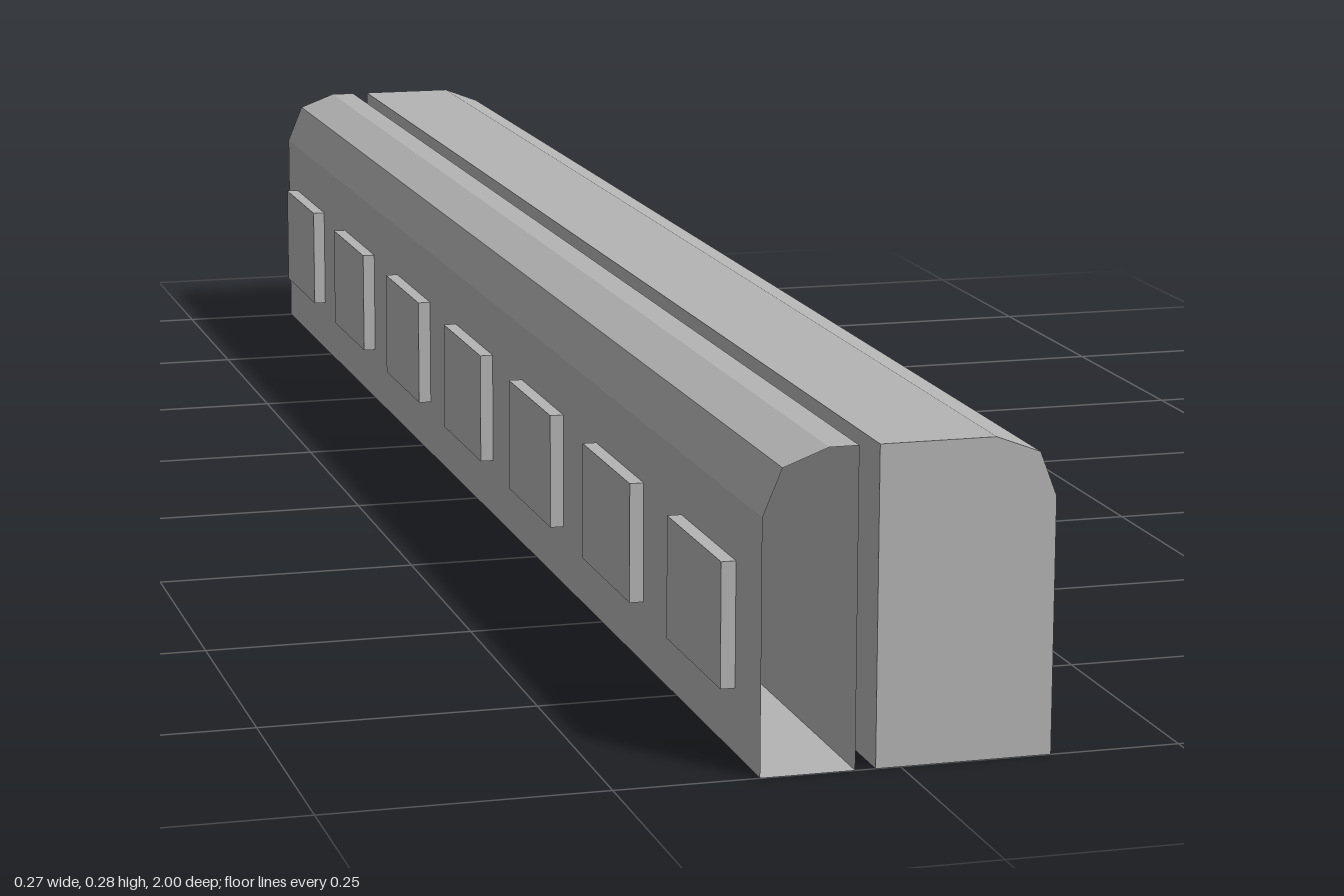
import * as THREE from 'three';

const LENGTH = 2;
const WINDOW = { length: 0.164, bottom: 0.057, top: 0.168, depth: 0.013, count: 7, first: -0.865, step: 0.285 };

// Cross-sections (x, y), counter-clockwise
const WIDE = [[-0.022, 0], [0.134, 0], [0.134, 0.225], [0.119, 0.264], [0.08, 0.279], [-0.022, 0.279]];
const NARROW = [[-0.123, 0], [-0.04, 0], [-0.04, 0.279], [-0.066, 0.279], [-0.106, 0.264], [-0.123, 0.223]];

const toShape = (points) => new THREE.Shape(points.map(([x, y]) => new THREE.Vector2(x, y)));

// Strip of flat panels swept along z, one for each pair of neighbouring points
function sweptPanels(points) {
  const pos = [];
  const h = LENGTH / 2;
  for (let i = 0; i < points.length - 1; i++) {
    const [ax, ay] = points[i];
    const [bx, by] = points[i + 1];
    pos.push(ax, ay, h, ax, ay, -h, bx, by, -h, ax, ay, h, bx, by, -h, bx, by, h);
  }
  const geo = new THREE.BufferGeometry();
  geo.setAttribute('position', new THREE.Float32BufferAttribute(pos, 3));
  geo.computeVertexNormals();
  return geo;
}

// Side wall in the z-y plane with a hole behind each window
function windowWall(x, height, centres) {
  const h = LENGTH / 2;
  const shape = toShape([[-h, 0], [h, 0], [h, height], [-h, height]]);
  for (const c of centres) {
    const a = c - WINDOW.length / 2;
    const b = c + WINDOW.length / 2;
    shape.holes.push(toShape([[a, WINDOW.bottom], [a, WINDOW.top], [b, WINDOW.top], [b, WINDOW.bottom]]));
  }
  return new THREE.ShapeGeometry(shape).rotateY(-Math.PI / 2).translate(x, 0, 0);
}

// Raised window: a shallow box open towards the inside
function windowBox() {
  const geo = new THREE.BoxGeometry(WINDOW.depth, WINDOW.top - WINDOW.bottom, WINDOW.length);
  geo.setIndex(Array.from(geo.index.array).slice(6));
  geo.clearGroups();
  return geo;
}

export function createModel() {
  const model = new THREE.Group();
  model.name = 'splitCarriage';
  const grey = new THREE.MeshStandardMaterial({ color: 0xb4b4b4, side: THREE.DoubleSide });
  grey.name = 'grey';

  const add = (name, geo, parent) => {
    const mesh = new THREE.Mesh(geo, grey);
    mesh.name = name;
    parent.add(mesh);
    return mesh;
  };

  // Wide half, closed at both ends
  const wide = new THREE.ExtrudeGeometry(toShape(WIDE), { depth: LENGTH, bevelEnabled: false });
  add('wideBody', wide.translate(0, 0, -LENGTH / 2), model);

  // Narrow half, hollow and open at the front
  const narrow = new THREE.Group();
  narrow.name = 'narrowBody';
  model.add(narrow);
  const wallX = NARROW[0][0];
  const centres = Array.from({ length: WINDOW.count }, (_, i) => WINDOW.first + i * WINDOW.step);
  add('floorAndRoof', sweptPanels(NARROW), narrow);
  add('windowWall', windowWall(wallX, NARROW[5][1], centres), narrow);
  const end = new THREE.ShapeGeometry(toShape(NARROW.map(([x, y]) => [-x, y]).reverse()));
  add('backEnd', end.rotateY(Math.PI).translate(0, 0, -LENGTH / 2), narrow);

  // Row of raised windows
  const boxGeo = windowBox();
  centres.forEach((z, i) => {
    const box = add(`window${i + 1}`, boxGeo, narrow);
    box.position.set(wallX - WINDOW.depth / 2, (WINDOW.bottom + WINDOW.top) / 2, z);
  });

  return model;
}
